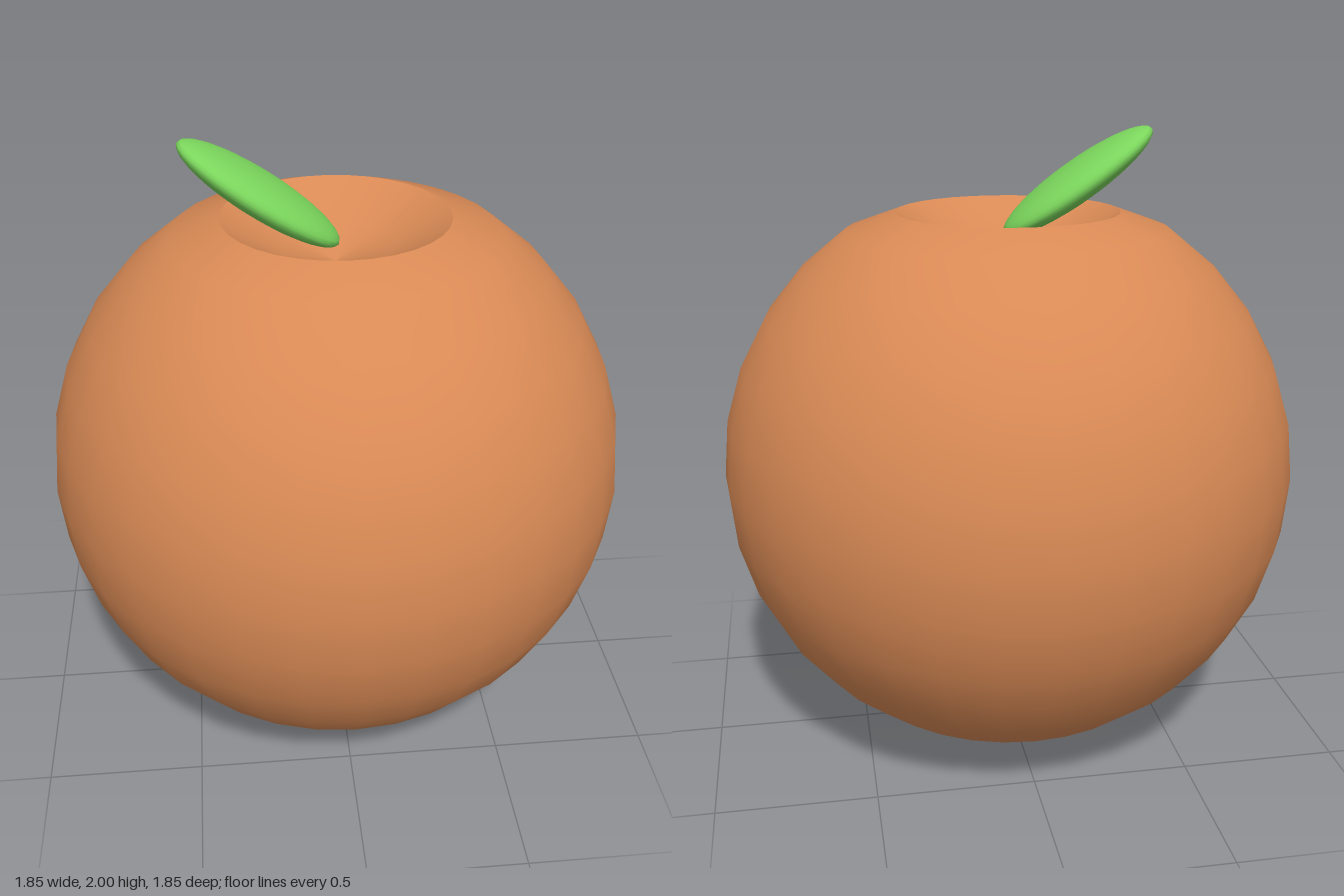
import * as THREE from 'three';

const RADIUS = 0.923;
const CENTRE = 0.925;
const SEGMENTS = 32;
const STEP = Math.PI / 16;

function addPart(group, name, geometry, color) {
  const mesh = new THREE.Mesh(geometry, new THREE.MeshStandardMaterial({ color }));
  mesh.name = name;
  group.add(mesh);
  return mesh;
}

export function createModel() {
  const model = new THREE.Group();
  model.name = 'fruit';
  const orange = 0xd98a55;

  // Round skin: a sphere profile that stops at the rim of the hollow
  const profile = [];
  for (let i = 0; i <= 13; i++) {
    const a = i * STEP;
    profile.push(new THREE.Vector2(RADIUS * Math.sin(a), CENTRE - RADIUS * Math.cos(a)));
  }
  const rim = new THREE.Vector2(RADIUS * Math.sin(2 * STEP), 1.75);
  profile.push(rim);
  addPart(model, 'skin', new THREE.LatheGeometry(profile, SEGMENTS), orange);

  // Shallow hollow in the top, meeting the skin at a sharp rim
  const hollow = [
    rim,
    new THREE.Vector2(RADIUS * Math.sin(STEP), 1.655),
    new THREE.Vector2(0, 1.6),
  ];
  addPart(model, 'stemHollow', new THREE.LatheGeometry(hollow, SEGMENTS), orange);

  // Leaf: a flattened ellipsoid rising towards -x out of the hollow
  const leaf = addPart(model, 'leaf', new THREE.SphereGeometry(1, 32, 16), 0x7bd65c);
  leaf.scale.set(0.285, 0.058, 0.15);
  leaf.rotation.z = -0.6;
  leaf.position.set(-0.228, 1.833, 0.026);

  return model;
}
